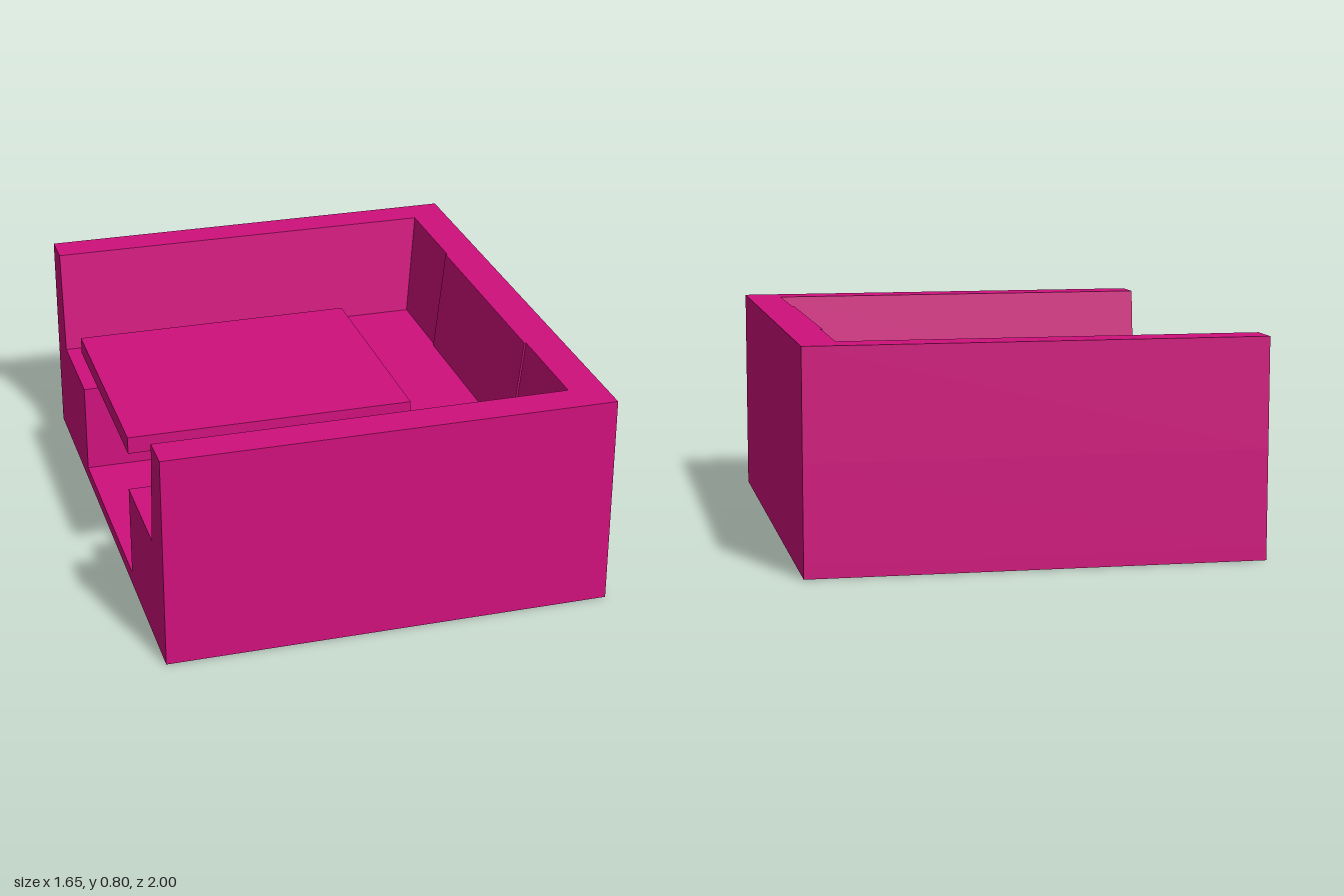
import * as THREE from 'three';

const W = 0.825, D = 1, H = 0.8;      // outer half width, half depth, height
const FLOOR = 0.05, LEDGE = 0.4;      // channel floor and ledge heights

const material = new THREE.MeshStandardMaterial({ color: 0xd0107c });

// Extrudes a plan outline (x, z) upwards from y0 to y1.
function prism(points, y0, y1) {
  const shape = new THREE.Shape(points.map(([x, z]) => new THREE.Vector2(x, -z)));
  const geometry = new THREE.ExtrudeGeometry(shape, { depth: y1 - y0, bevelEnabled: false });
  return geometry.rotateX(-Math.PI / 2).translate(0, y0, 0);
}

export function createModel() {
  const group = new THREE.Group();
  const add = (name, geometry, x = 0, y = 0, z = 0) => {
    const mesh = new THREE.Mesh(geometry, material);
    mesh.name = name;
    mesh.position.set(x, y, z);
    group.add(mesh);
  };

  // Bottom plate, which is also the floor of the channel
  add('bottomPlate', new THREE.BoxGeometry(2 * W, FLOOR, 2 * D), 0, FLOOR / 2, 0);

  // Ledge around a channel that opens on the -x side
  const cz = 0.43, cx = 0.225;
  add('ledge', prism([
    [-W, -D], [W, -D], [W, D], [-W, D],
    [-W, cz], [cx, cz], [cx, -cz], [-W, -cz],
  ], FLOOR, LEDGE));

  // Three-sided wall with a shallow raised pad in the middle of its end
  const ix = 0.69, px = 0.683, iz = 0.866, pz = 0.447, draft = 0.043;
  const wall = prism([
    [-W, -D], [W, -D], [W, D], [-W, D],
    [-W, iz], [ix, iz], [ix, pz], [px, pz],
    [px, -pz], [ix, -pz], [ix, -iz], [-W, -iz],
  ], LEDGE, H);
  // Slope the inner faces: their lower vertices move inwards
  const p = wall.attributes.position;
  for (let i = 0; i < p.count; i++) {
    if (p.getY(i) > LEDGE + 0.01) continue;
    const x = p.getX(i), z = p.getZ(i);
    if (x > 0.5 && x < 0.75) p.setX(i, x - draft);
    if (Math.abs(z) > 0.6 && Math.abs(z) < 0.95) p.setZ(i, z - Math.sign(z) * draft);
  }
  wall.computeVertexNormals();
  add('wall', wall);

  // Raised platform on a central round post
  const x0 = -W, x1 = 0.243, bottom = 0.553, top = 0.617, mid = (x0 + x1) / 2;
  add('platform', new THREE.BoxGeometry(x1 - x0, top - bottom, 2 * pz), mid, (top + bottom) / 2, 0);
  add('post', new THREE.CylinderGeometry(0.049, 0.049, bottom - FLOOR, 32), mid, (bottom + FLOOR) / 2, 0);

  return group;
}
